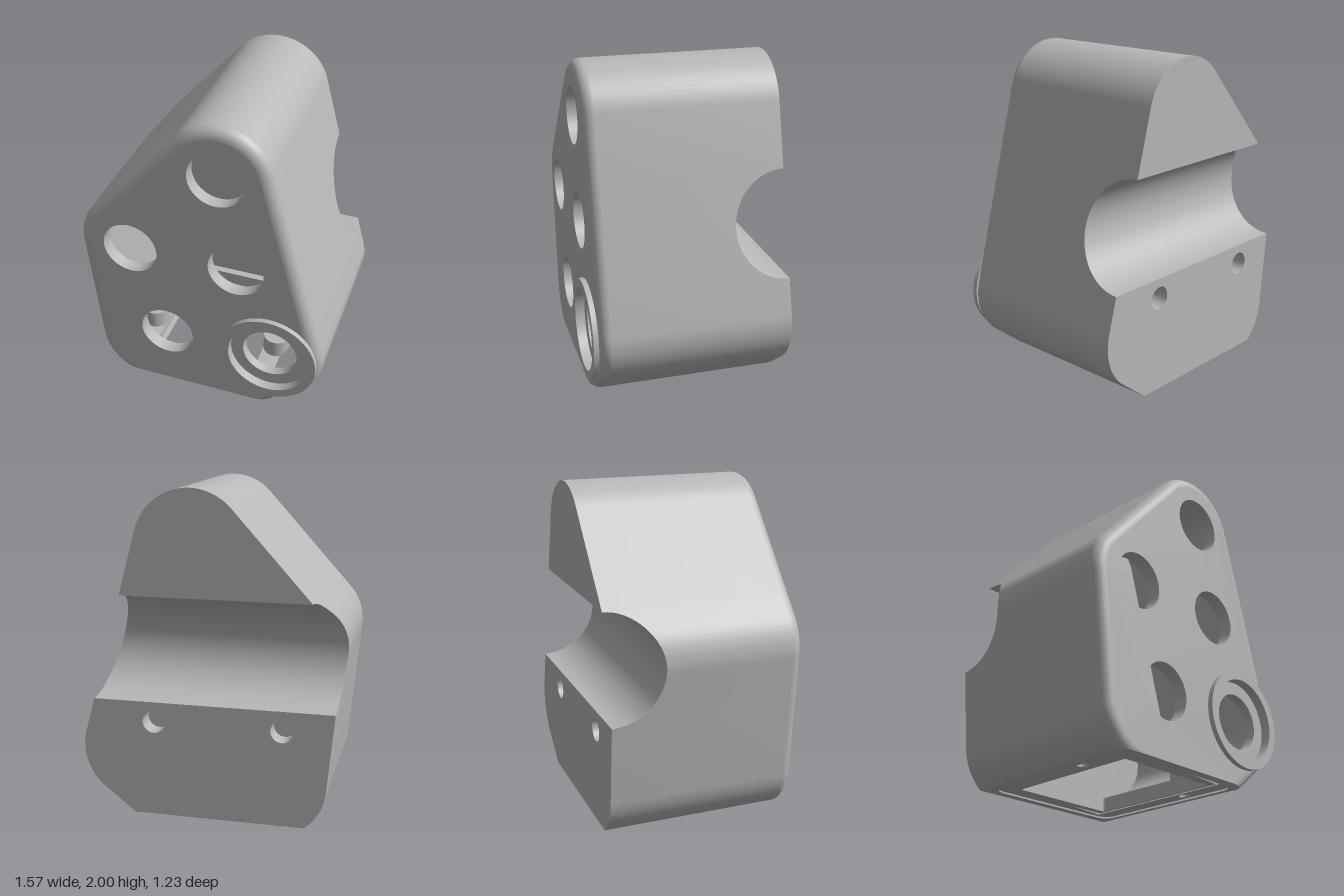
import * as THREE from 'three';
import { toCreasedNormals } from 'three/addons/utils/BufferGeometryUtils.js';

const R = 0.337, FRONT = 0.575, BACK = -0.615, FILLET = 0.07, INNER = 0.49;
const GROOVE = { y: 1.04, r: 0.322 };
const HOLE_R = 0.175;
const HOLES = [[0.105, 1.663], [-0.455, 1.04], [0.225, 1.04], [-0.235, 0.415]];
const PORT = [0.445, 0.415];
const rad = THREE.MathUtils.degToRad;

// Rounded outline, inset by d, counter-clockwise from bottom right to bottom left
function outline(d, levels = []) {
  const r = R - d, pts = [];
  const arc = (cx, cy, a0, a1, n = 14) => {
    for (let i = 0; i <= n; i++) {
      const a = a0 + (a1 - a0) * i / n;
      pts.push([cx + r * Math.cos(a), cy + r * Math.sin(a)]);
    }
  };
  arc(0.445, 0.415, rad(-51.5), rad(15.2));
  arc(0.105, 1.663, rad(15.2), rad(138.1), 24);
  arc(-0.455, 1.04, rad(138.1), rad(185.6));
  arc(-0.38, 0.265, rad(185.6), Math.PI + Math.asin(Math.min(1, 0.265 / r)));
  const [x, y] = pts[0];
  pts.unshift([x - y / Math.tan(rad(38.5)), 0]);
  return split(pts, levels);
}

// Insert points where the outline crosses given heights
function split(pts, levels) {
  const out = [pts[0]];
  for (let i = 1; i < pts.length; i++) {
    const [ax, ay] = pts[i - 1], [bx, by] = pts[i];
    levels.filter(v => (v - ay) * (v - by) < -1e-9)
      .map(v => (v - ay) / (by - ay)).sort((p, q) => p - q)
      .forEach(t => out.push([ax + (bx - ax) * t, ay + (by - ay) * t]));
    out.push(pts[i]);
  }
  return out;
}

// Right and left x of the outline at height y
function span(d, y) {
  const p = outline(d), xs = [];
  for (let i = 1; i < p.length; i++) {
    const [ax, ay] = p[i - 1], [bx, by] = p[i];
    if ((ay - y) * (by - y) <= 0 && ay !== by) xs.push(ax + (bx - ax) * (y - ay) / (by - ay));
  }
  return [Math.max(...xs), Math.min(...xs)];
}

// Surface through rows holding equal numbers of [x, y, z] points
function loft(rows, crease = 0.45) {
  const n = rows[0].length, idx = [];
  for (let j = 0; j < rows.length - 1; j++)
    for (let i = 0; i < n - 1; i++) {
      const a = j * n + i, b = a + n;
      idx.push(a, b, a + 1, b, b + 1, a + 1);
    }
  const g = new THREE.BufferGeometry();
  g.setAttribute('position', new THREE.Float32BufferAttribute(rows.flat(2), 3));
  g.setIndex(idx);
  return toCreasedNormals(g, crease);
}

// Flat shape with round holes [x, y, r]
function plate(pts, holes = []) {
  const s = new THREE.Shape(pts.map(p => new THREE.Vector2(p[0], p[1])));
  for (const [x, y, r] of holes) s.holes.push(new THREE.Path().absarc(x, y, r, 0, Math.PI * 2, true));
  return s;
}

function roundRect(x0, x1, y0, y1, r, Type = THREE.Shape) {
  const s = new Type();
  s.absarc(x1 - r, y1 - r, r, 0, Math.PI / 2);
  s.absarc(x0 + r, y1 - r, r, Math.PI / 2, Math.PI);
  s.absarc(x0 + r, y0 + r, r, Math.PI, Math.PI * 1.5);
  s.absarc(x1 - r, y0 + r, r, Math.PI * 1.5, Math.PI * 2);
  return s;
}

export function createModel() {
  const group = new THREE.Group();
  const grey = new THREE.MeshStandardMaterial({ color: 0xb8b8b8, side: THREE.DoubleSide });
  grey.name = 'light grey';
  const add = (name, geo, x = 0, y = 0, z = 0) => {
    const m = new THREE.Mesh(geo, grey);
    m.name = name;
    m.position.set(x, y, z);
    group.add(m);
    return m;
  };
  const flat = (name, shape, z) => add(name, new THREE.ShapeGeometry(shape, 32), 0, 0, z);
  const bore = (name, x, y, z0, z1, r) => {
    const g = new THREE.CylinderGeometry(r, r, z1 - z0, 40, 1, true).rotateX(Math.PI / 2);
    return add(name, g, x, y, (z0 + z1) / 2);
  };

  // Outer wall with rounded front edge and a half-round notch at the back
  const arcSteps = Array.from({ length: 33 }, (_, i) => -Math.PI / 2 + Math.PI * i / 32);
  const levels = arcSteps.map(t => GROOVE.y + GROOVE.r * Math.sin(t));
  const backZ = y => BACK + Math.sqrt(Math.max(0, GROOVE.r ** 2 - (y - GROOVE.y) ** 2));
  const base = outline(0);
  const cuts = split(base, levels);
  const fractions = [];
  for (let i = 1; i < base.length; i++) {
    const [ax, ay] = base[i - 1], [bx, by] = base[i];
    levels.filter(v => (v - ay) * (v - by) < -1e-9).map(v => (v - ay) / (by - ay))
      .sort((p, q) => p - q).forEach(t => fractions.push([i - 1, t]));
    fractions.push([i - 1, 1]);
  }
  const insetRow = (d, z) => {
    const p = outline(d);
    return [[...p[0], z], ...fractions.map(([i, t]) =>
      [p[i][0] + (p[i + 1][0] - p[i][0]) * t, p[i][1] + (p[i + 1][1] - p[i][1]) * t, z])];
  };
  const rows = [];
  for (let k = 0; k <= 8; k++) {
    const a = Math.PI / 2 * k / 8;
    rows.push(insetRow(FILLET * (1 - Math.sin(a)), FRONT - FILLET * (1 - Math.cos(a))));
  }
  rows.push(cuts.map(([x, y]) => [x, y, backZ(y)]));
  add('outerWall', loft(rows));

  // Front face and its openings
  const openings = HOLES.map(h => [...h, HOLE_R]);
  flat('frontFace', plate(outline(FILLET), [...openings, [...PORT, 0.255]]), FRONT);
  for (const [x, y] of HOLES) bore('buttonHole', x, y, INNER, FRONT, HOLE_R);

  // Raised ring with stepped bore
  const ring = [[0.255, 0.578], [0.31, 0.578], [0.31, 0.61], [0.255, 0.61], [0.255, 0.55],
    [HOLE_R, 0.55], [HOLE_R, INNER]].map(p => new THREE.Vector2(...p));
  add('portRing', toCreasedNormals(new THREE.LatheGeometry(ring, 56).rotateX(Math.PI / 2), 0.5), ...PORT);

  // Back faces, pipe groove and screw holes
  const lo = GROOVE.y - GROOVE.r, hi = GROOVE.y + GROOVE.r;
  const edge = outline(0, [lo, hi]);
  const upper = [[0.285, 1.485, 0.07], [-0.29, 1.485, 0.07]];
  const lower = [[0.335, 0.595, 0.07], [-0.45, 0.595, 0.07]];
  flat('upperBack', plate(edge.filter(p => p[1] > hi - 1e-6), upper), BACK);
  flat('lowerBack', plate(edge.filter(p => p[1] < lo + 1e-6), lower), BACK);
  add('pipeGroove', loft([0, 1].map(s => levels.map(y => [span(0, y)[s], y, backZ(y)]))));
  for (const [x, y, r] of [...upper, ...lower]) {
    bore('backScrewHole', x, y, BACK, -0.5, r);
    add('backScrewHoleEnd', new THREE.CircleGeometry(r, 32), x, y, -0.5);
  }

  // Hollow inside: front lining, side lining, stepped back
  const STEP = 0.65, inner = outline(0.1, [STEP - 0.001, STEP]);
  flat('innerFront', plate(outline(0.1), [...openings, [...PORT, HOLE_R]]), INNER);
  add('innerWall', loft([inner.map(([x, y]) => [x, y, INNER]),
    inner.map(([x, y]) => [x, y, y < STEP - 1e-6 ? -0.5 : -0.22])]));
  flat('innerUpperBack', plate(inner.filter(p => p[1] > STEP - 1e-6)), -0.22);
  flat('innerLowerBack', plate(inner.filter(p => p[1] < STEP - 1e-6)), -0.5);
  const [sr, sl] = span(0.1, STEP);
  add('innerStep', new THREE.PlaneGeometry(sr - sl, 0.28).rotateX(Math.PI / 2), (sr + sl) / 2, STEP, -0.36);

  // Underside: skin, recessed frame with access opening, screw posts
  const down = s => s.rotateX(Math.PI / 2);
  const right = rows.map(r => [r[0][0], r[0][2]]);
  const left = rows.map(r => [r[r.length - 1][0], r[r.length - 1][2]]).reverse();
  const skin = plate([...right, ...left]);
  skin.holes.push(roundRect(-0.53, 0.43, -0.56, 0.51, 0.08, THREE.Path));
  add('bottomSkin', down(new THREE.ShapeGeometry(skin, 12)));
  const frame = roundRect(-0.53, 0.43, -0.56, 0.51, 0.08);
  frame.holes.push(roundRect(-0.41, 0.3, -0.45, 0.42, 0.02, THREE.Path));
  const posts = [[0.385, 0.17], [-0.49, 0.17]];
  for (const [x, z] of posts) frame.holes.push(new THREE.Path().absarc(x, z, 0.036, 0, Math.PI * 2, true));
  const frameGeo = new THREE.ExtrudeGeometry(frame, { depth: 0.09, bevelEnabled: false, curveSegments: 12 });
  add('bottomFrame', down(frameGeo), 0, 0.1, 0);
  for (const [x, z] of posts)
    add('screwPost', new THREE.CylinderGeometry(0.09, 0.09, 0.12, 32), x, 0.16, z);
  return group;
}
